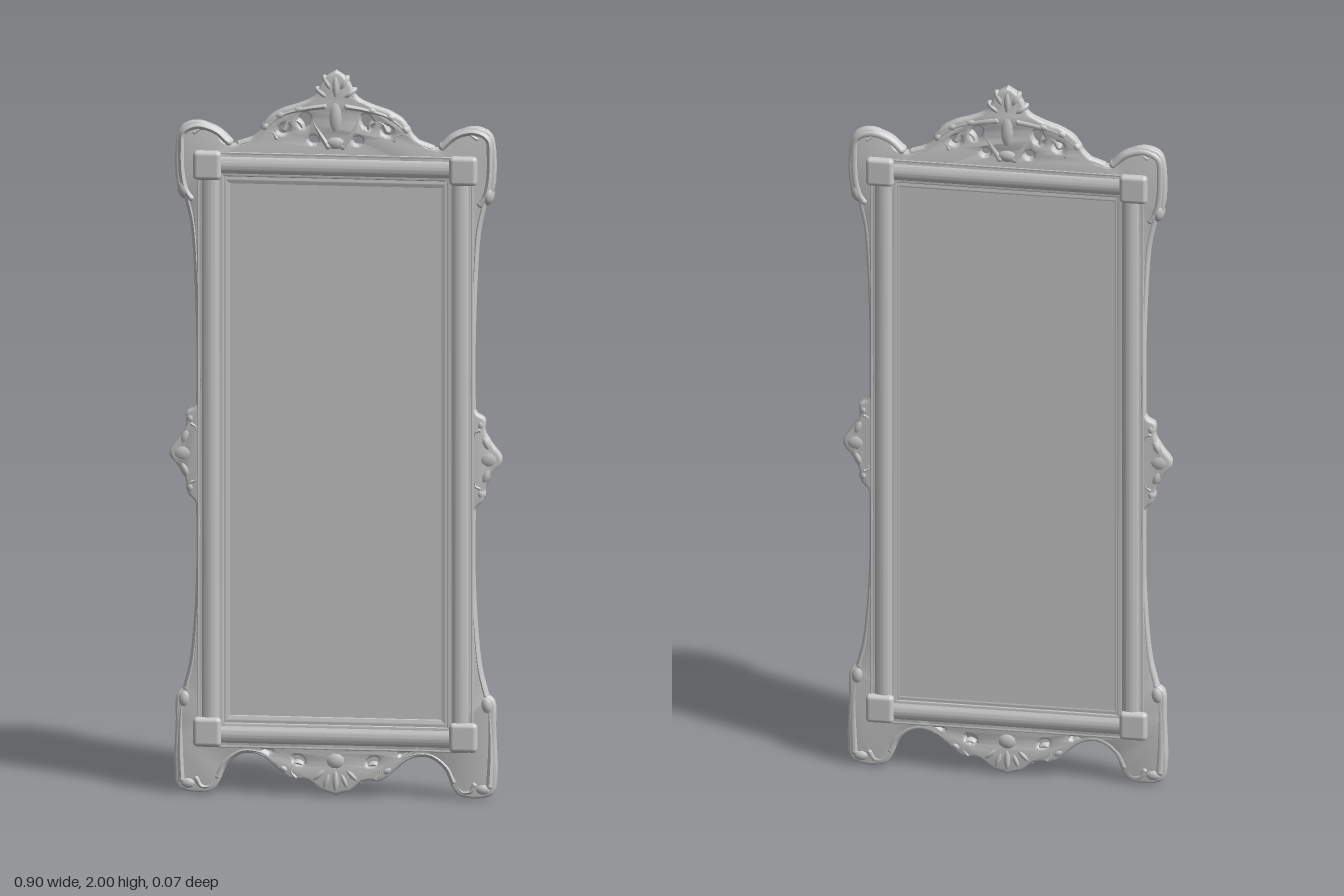
import * as THREE from 'three';
import { toCreasedNormals } from 'three/addons/utils/BufferGeometryUtils.js';
import { RoundedBoxGeometry } from 'three/addons/geometries/RoundedBoxGeometry.js';

const material = new THREE.MeshStandardMaterial({ color: 0xcccccc, roughness: 0.7 });
const V = (x, y, z = 0) => new THREE.Vector3(x, y, z);

export function createModel() {
  const root = new THREE.Group();
  root.name = 'ornateMirror';

  const add = (name, geometry, parent = root) => {
    const mesh = new THREE.Mesh(geometry, material);
    mesh.name = name;
    parent.add(mesh);
    return mesh;
  };

  // Tapered carved stem, as deep as `depth` front to back
  const stem = (name, points, r0, r1, depth, parent, s) => {
    const path = new THREE.CatmullRomCurve3(points.map(([x, y]) => V(x * s, y)));
    const n = points.length * 7, sides = 10;
    const geo = new THREE.TubeGeometry(path, n, 1, sides);
    const pos = geo.attributes.position, p = V(0, 0);
    for (let i = 0; i <= n; i++) {
      const c = path.getPointAt(i / n), r = r0 + (r1 - r0) * (i / n);
      for (let j = 0; j <= sides; j++) {
        const k = i * (sides + 1) + j;
        p.fromBufferAttribute(pos, k).sub(c).multiplyScalar(r);
        pos.setXYZ(k, c.x + p.x, c.y + p.y, p.z * depth / Math.max(r0, r1));
      }
    }
    geo.computeVertexNormals();
    add(name, geo, parent);
    [[points[0], r0], [points[points.length - 1], r1]].forEach(([[x, y], r]) =>
      leaf(name + 'Tip', x, y, r * 1.05, r * 1.05, 0, depth * r / Math.max(r0, r1), parent, s));
  };

  // Rounded leaf or bead
  const leaf = (name, x, y, rx, ry, angle, depth, parent, s) => {
    const m = add(name, new THREE.SphereGeometry(1, 14, 10), parent);
    m.scale.set(rx, ry, depth);
    m.position.set(x * s, y, 0);
    m.rotation.z = angle * s;
  };

  // Spiral points for a scroll end
  const spiral = (cx, cy, r, start, turns) => Array.from({ length: 9 }, (_, i) => {
    const a = start + turns * Math.PI * 2 * i / 8, q = r * (1 - 0.75 * i / 8);
    return [cx + Math.cos(a) * q, cy + Math.sin(a) * q];
  });

  // Carved border: mirrored outline with the glass opening and pierced work
  const half = [
    [0, 1.998], [0.03, 1.978], [0.045, 1.95], [0.06, 1.925], [0.1, 1.905], [0.145, 1.89], [0.185, 1.865],
    [0.21, 1.825], [0.25, 1.795], [0.3, 1.795], [0.335, 1.84], [0.38, 1.852], [0.42, 1.835], [0.433, 1.79],
    [0.428, 1.67], [0.405, 1.635], [0.388, 1.58], [0.379, 1.45], [0.376, 1.25], [0.378, 1.07],
    [0.405, 1.05], [0.405, 1.015], [0.425, 0.98], [0.452, 0.938], [0.422, 0.895], [0.405, 0.86],
    [0.4, 0.825], [0.378, 0.8], [0.376, 0.65], [0.38, 0.48], [0.392, 0.36], [0.408, 0.295],
    [0.43, 0.275], [0.433, 0.2], [0.433, 0.03], [0.415, 0.01], [0.335, 0.01], [0.312, 0.04],
    [0.295, 0.085], [0.25, 0.115], [0.2, 0.108], [0.16, 0.075], [0.125, 0.048], [0.075, 0.045],
    [0.04, 0.018], [0, 0.006]];
  const outline = new THREE.CatmullRomCurve3(half.map(([x, y]) => V(x, y)), false, 'centripetal')
    .getPoints(half.length * 3).map(p => new THREE.Vector2(p.x, p.y));
  const mirrored = outline.slice(1, -1).reverse().map(p => new THREE.Vector2(-p.x, p.y));
  const border = new THREE.Shape([...outline, ...mirrored].reverse());
  border.holes.push(new THREE.Path([[-0.3, 0.2], [-0.3, 1.7], [0.3, 1.7], [0.3, 0.2]]
    .map(([x, y]) => new THREE.Vector2(x, y))));
  for (const s of [1, -1]) {
    for (const [x, y, rx, ry, a] of [[0.085, 1.86, 0.016, 0.022, 0.4], [0.14, 1.835, 0.018, 0.014, -0.5],
      [0.06, 1.807, 0.014, 0.012, 0], [0.1, 0.1, 0.018, 0.012, 0.4], [0.185, 0.122, 0.014, 0.006, 0]]) {
      border.holes.push(new THREE.Path().absellipse(x * s, y, rx, ry, 0, Math.PI * 2, true, a * s));
    }
  }
  const borderGeo = new THREE.ExtrudeGeometry(border, { depth: 0.016, bevelEnabled: true,
    bevelThickness: 0.007, bevelSize: 0.007, bevelOffset: -0.007, bevelSegments: 3, curveSegments: 12 });
  borderGeo.translate(0, 0, -0.008);
  add('carvedBorder', toCreasedNormals(borderGeo, 0.7));

  // Glass and its backing
  add('mirrorPanel', new THREE.BoxGeometry(0.6, 1.5, 0.012)).position.set(0, 0.947, -0.006);

  // Moulded rails: inner lip, cove, broad roll, outer bead; u runs from inside to outside
  const face = new THREE.SplineCurve([[0, 0.01], [0.012, 0.013], [0.022, 0.012], [0.036, 0.02], [0.052, 0.023],
    [0.068, 0.019], [0.076, 0.014], [0.085, 0.016], [0.09, 0.011]].map(([u, z]) => new THREE.Vector2(u, z)));
  const front = face.getPoints(32);
  const section = new THREE.Shape([...front, ...front.slice().reverse().map(p => new THREE.Vector2(p.x, -p.y))]);
  const rail = (name, length, x, y, angle) => {
    const geo = new THREE.ExtrudeGeometry(section, { depth: length, bevelEnabled: false });
    geo.translate(0, 0, -length / 2).rotateX(Math.PI / 2).rotateZ(angle);
    add(name, toCreasedNormals(geo, 0.6)).position.set(x, y, 0);
  };
  rail('leftRail', 1.62, 0.287, 0.95, 0);
  rail('rightRail', 1.62, -0.287, 0.95, Math.PI);
  rail('topRail', 0.72, 0, 1.682, Math.PI / 2);
  rail('bottomRail', 0.72, 0, 0.217, -Math.PI / 2);

  // Mirrored carving
  for (const s of [1, -1]) {
    const side = new THREE.Group();
    side.name = s > 0 ? 'leftCarving' : 'rightCarving';
    root.add(side);

    // Corner blocks
    for (const y of [1.732, 0.173]) {
      add('cornerBlock', new RoundedBoxGeometry(0.076, 0.08, 0.067, 3, 0.012), side)
        .position.set(0.347 * s, y, 0);
    }

    // Crest: sweeping stems, scrolls and leaves
    stem('crestStem', [[0.03, 1.9], [0.08, 1.892], [0.14, 1.875], [0.18, 1.845], [0.21, 1.81], [0.26, 1.79]],
      0.012, 0.009, 0.019, side, s);
    stem('crestInnerStem', [[0.02, 1.79], [0.045, 1.83], [0.06, 1.86], [0.05, 1.89], [0.025, 1.92]],
      0.012, 0.007, 0.02, side, s);
    stem('crestScroll', spiral(0.11, 1.835, 0.03, 0, 1.1), 0.009, 0.005, 0.018, side, s);
    stem('crestScroll', spiral(0.18, 1.81, 0.02, Math.PI, -1.1), 0.009, 0.005, 0.018, side, s);
    for (const [x, y, rx, ry, a] of [[0.022, 1.962, 0.011, 0.026, -0.5], [0.037, 1.935, 0.011, 0.025, -0.9],
      [0.1, 1.89, 0.022, 0.013, -0.3], [0.15, 1.873, 0.02, 0.013, -0.5], [0.19, 1.84, 0.018, 0.012, -0.9]]) {
      leaf('crestLeaf', x, y, rx, ry, a, 0.019, side, s);
    }

    // Top corner volutes
    stem('topCornerScroll', [[0.29, 1.795], [0.325, 1.825], [0.375, 1.838], [0.412, 1.82], [0.418, 1.77],
      [0.415, 1.7], [0.405, 1.66], [0.392, 1.64]], 0.012, 0.012, 0.021, side, s);
    stem('topCornerVolute', spiral(0.36, 1.808, 0.025, 0.5, 1.2), 0.009, 0.005, 0.018, side, s);
    leaf('topCornerLeaf', 0.412, 1.665, 0.018, 0.03, -0.15, 0.022, side, s);
    stem('upperSideStem', [[0.4, 1.64], [0.385, 1.57], [0.376, 1.45], [0.37, 1.2], [0.372, 1.07]],
      0.01, 0.007, 0.017, side, s);

    // Middle side ornament
    leaf('sideBoss', 0.415, 0.938, 0.035, 0.03, 0, 0.019, side, s);
    for (const d of [1, -1]) {
      leaf('sideLeaf', 0.408, 0.938 + d * 0.045, 0.014, 0.03, d * 0.4, 0.019, side, s);
      leaf('sideBead', 0.393, 0.938 + d * 0.095, 0.014, 0.018, 0, 0.018, side, s);
      stem('sideScroll', spiral(0.39, 0.938 + d * 0.065, 0.015, d * 1.57, d), 0.007, 0.004, 0.019, side, s);
    }
    stem('lowerSideStem', [[0.372, 0.81], [0.37, 0.65], [0.376, 0.48], [0.388, 0.36], [0.405, 0.29]],
      0.007, 0.01, 0.017, side, s);

    // Feet
    leaf('footLeaf', 0.41, 0.262, 0.02, 0.03, 0.15, 0.022, side, s);
    stem('footEdge', [[0.416, 0.26], [0.42, 0.18], [0.42, 0.1], [0.417, 0.04]], 0.011, 0.014, 0.02, side, s);
    stem('footScroll', spiral(0.35, 0.042, 0.026, 0, -1.2), 0.011, 0.006, 0.02, side, s);
    leaf('footToe', 0.4, 0.03, 0.028, 0.02, 0, 0.021, side, s);

    // Apron
    stem('apronStem', [[0.32, 0.05], [0.3, 0.09], [0.255, 0.122], [0.2, 0.118], [0.155, 0.088], [0.12, 0.062]],
      0.011, 0.009, 0.018, side, s);
    stem('apronScroll', spiral(0.1, 0.075, 0.024, -1.2, 1.1), 0.009, 0.005, 0.018, side, s);
    for (const [x, y, rx, ry, a] of [[0.024, 0.045, 0.011, 0.034, 0.4], [0.045, 0.06, 0.011, 0.034, 0.8],
      [0.14, 0.075, 0.02, 0.012, 0.6]]) {
      leaf('apronLeaf', x, y, rx, ry, a, 0.019, side, s);
    }
  }

  // Central plumes
  leaf('crestPlume', 0, 1.955, 0.013, 0.044, 0, 0.02, root, 1);
  leaf('crestHeart', 0, 1.87, 0.024, 0.06, 0, 0.021, root, 1);
  leaf('crestBase', 0, 1.8, 0.036, 0.024, 0, 0.021, root, 1);
  leaf('apronPlume', 0, 0.045, 0.013, 0.043, 0, 0.02, root, 1);
  leaf('apronHeart', 0, 0.1, 0.035, 0.03, 0, 0.021, root, 1);

  return root;
}
